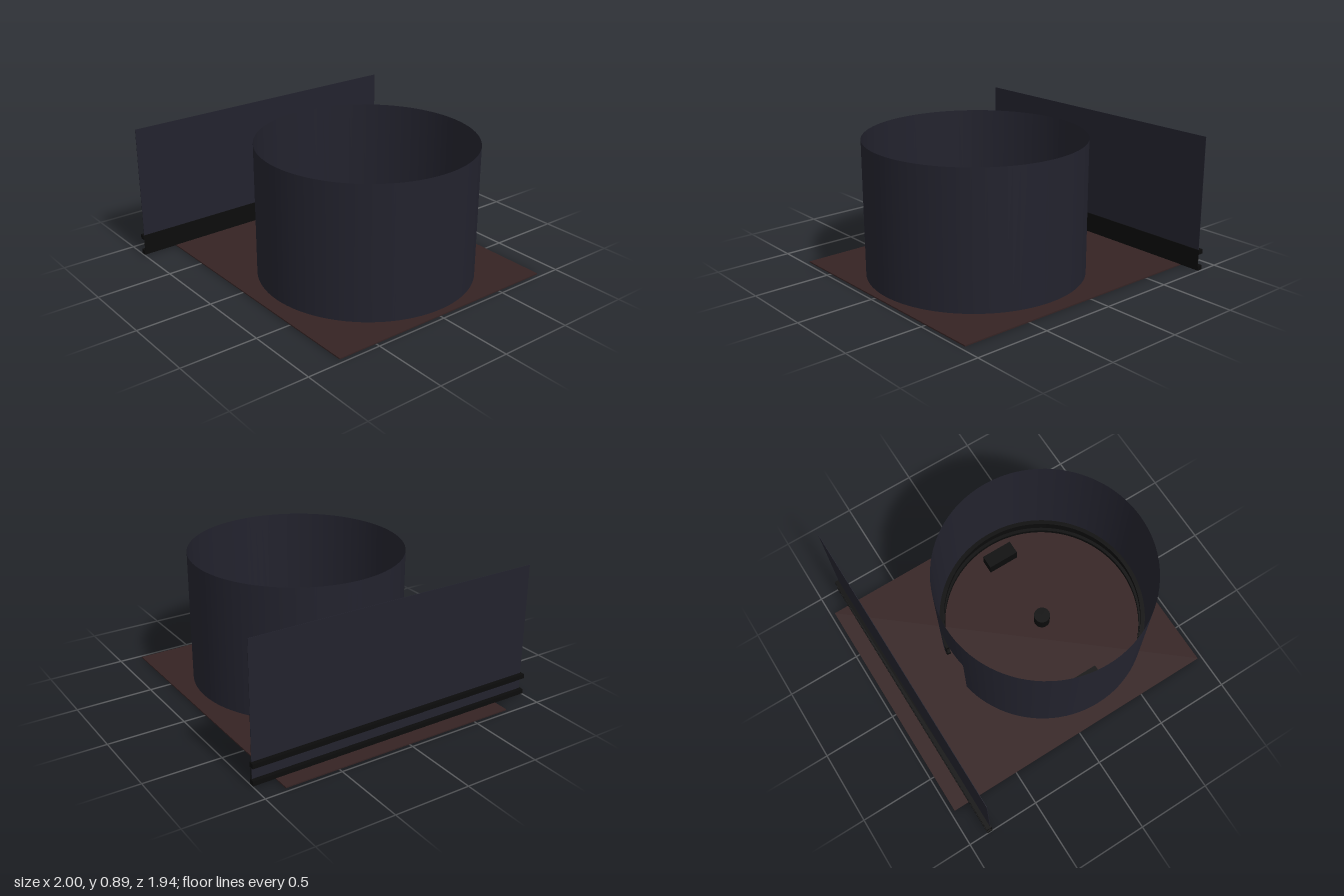
import * as THREE from 'three';

const CX = 0.043, CZ = 0.219;   // centre of the round room
const R = 0.703;                // radius of the round wall
const GAP = 0.19;               // half angle of the doorway
const BASE = 0.008, TOP = 0.888, DOOR_TOP = 0.485;

export function createModel() {
  const model = new THREE.Group();
  model.name = 'roundRoom';

  const wallPaint = new THREE.MeshStandardMaterial({ color: 0x22222d, side: THREE.DoubleSide });
  wallPaint.name = 'darkBlueGreyWall';
  const floorPaint = new THREE.MeshStandardMaterial({ color: 0x352323 });
  floorPaint.name = 'darkBrownFloor';
  const black = new THREE.MeshStandardMaterial({ color: 0x0b0b0b });
  black.name = 'blackTrim';

  const add = (name, geometry, material, x = 0, y = 0, z = 0) => {
    const mesh = new THREE.Mesh(geometry, material);
    mesh.name = name;
    mesh.position.set(x, y, z);
    model.add(mesh);
    return mesh;
  };
  // box given by its lower and upper limits on each axis
  const block = (name, material, [x0, x1], [y0, y1], [z0, z1]) =>
    add(name, new THREE.BoxGeometry(x1 - x0, y1 - y0, z1 - z0), material,
      (x0 + x1) / 2, (y0 + y1) / 2, (z0 + z1) / 2);

  // floor slab
  block('floor', floorPaint, [-0.763, 0.855], [0, BASE], [-0.972, 0.97]);

  // round wall: a thin shell with a doorway at the back and a lintel above it
  const shell = (name, y0, y1, start, length, segments) =>
    add(name, new THREE.CylinderGeometry(R, R, y1 - y0, segments, 1, true, start, length),
      wallPaint, CX, (y0 + y1) / 2, CZ);
  shell('roundWall', BASE, TOP, Math.PI + GAP, 2 * (Math.PI - GAP), 90);
  shell('doorLintel', DOOR_TOP, TOP, Math.PI - GAP, 2 * GAP, 6);

  // curved bars inside the round wall, broken at the doorway
  const curvedBar = (name, inner, outer, y0, y1) => {
    const a = Math.PI / 2 + GAP, b = Math.PI * 2.5 - GAP;
    const shape = new THREE.Shape();
    shape.absarc(0, 0, outer, a, b, false);
    shape.absarc(0, 0, inner, b, a, true);
    const geometry = new THREE.ExtrudeGeometry(shape, { depth: y1 - y0, bevelEnabled: false, curveSegments: 90 });
    geometry.rotateX(-Math.PI / 2);
    add(name, geometry, black, CX, y0, CZ);
  };
  curvedBar('curvedLowerRail', 0.67, 0.699, BASE, 0.036);
  curvedBar('curvedUpperRail', 0.67, 0.699, 0.115, 0.145);
  curvedBar('curvedSkirting', 0.692, 0.699, 0.036, 0.115);

  // straight back wall with two rails and a skirting plate on its inner face
  block('backWall', wallPaint, [-0.992, 0.992], [BASE, TOP], [-0.839, -0.836]);
  block('backSkirting', black, [-0.995, 0.995], [0.02, 0.13], [-0.836, -0.831]);
  block('backLowerRail', black, [-1, 1], [0.006, 0.036], [-0.867, -0.831]);
  block('backUpperRail', black, [-1, 1], [0.115, 0.145], [-0.867, -0.831]);

  // pair of benches and a stool between them
  for (const [name, side] of [['leftBench', 1], ['rightBench', -1]]) {
    const x = CX + side * 0.54;
    block(name, black, [x - 0.048, x + 0.048], [BASE, 0.1], [0.107, 0.326]);
  }
  add('stool', new THREE.CylinderGeometry(0.055, 0.055, 0.1, 32), black, CX, BASE + 0.05, CZ);

  return model;
}
